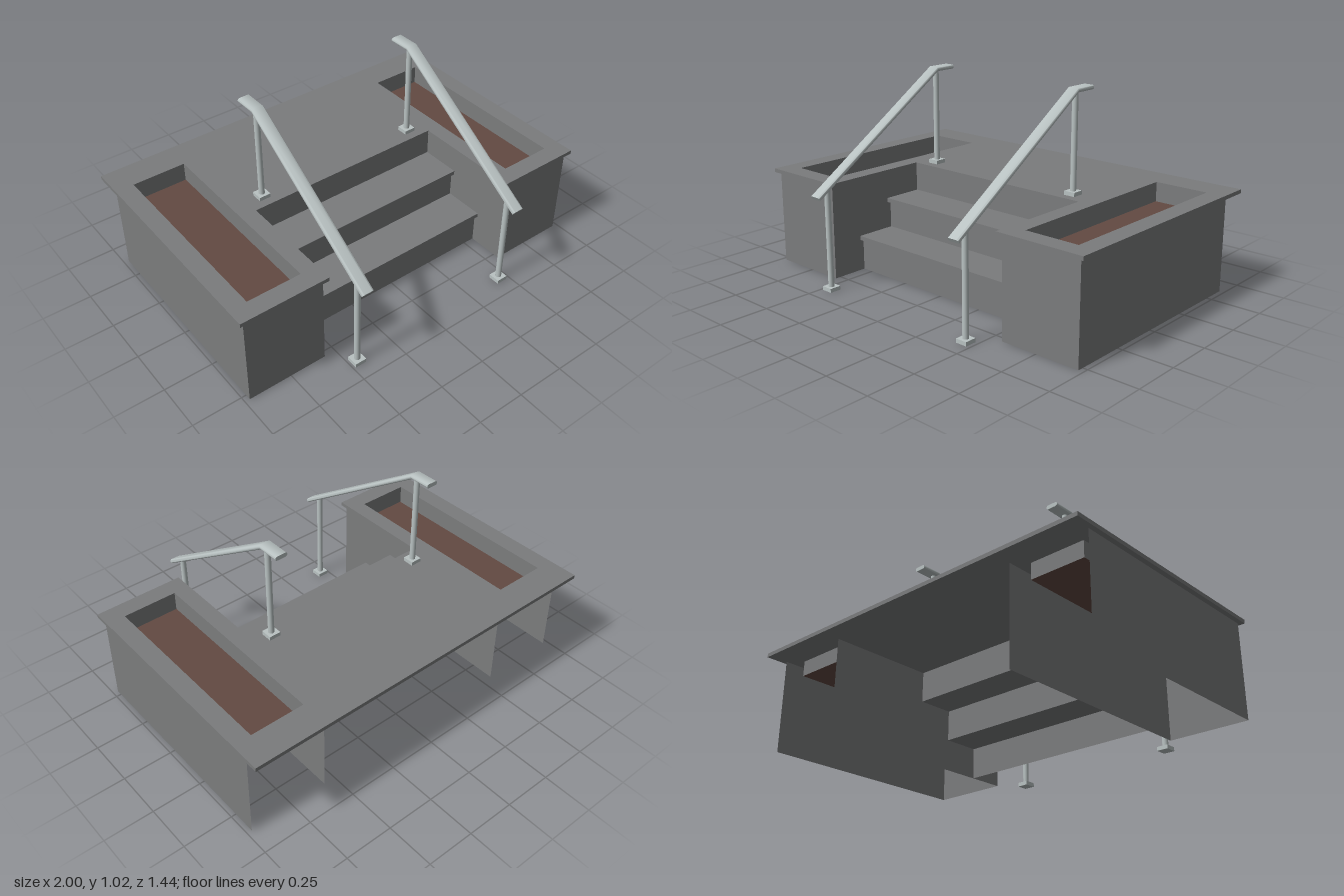
import * as THREE from 'three';
import { toCreasedNormals } from 'three/addons/utils/BufferGeometryUtils.js';

export function createModel() {
  const root = new THREE.Group();
  root.name = 'entranceSteps';
  const material = (name, color) => {
    const m = new THREE.MeshStandardMaterial({ color, side: THREE.DoubleSide });
    m.name = name;
    return m;
  };
  const concrete = material('concrete', 0x7b7c7d);
  const soil = material('soil', 0x634a42);
  const metal = material('brushedMetal', 0xb9c2c2);

  const add = (parent, name, geo, mat, x = 0, y = 0, z = 0) => {
    const mesh = new THREE.Mesh(geo, mat);
    mesh.name = name;
    mesh.position.set(x, y, z);
    parent.add(mesh);
    return mesh;
  };
  // Thin upright panels: one across x, one along z
  const panelX = (parent, name, x0, x1, y0, y1, z) =>
    add(parent, name, new THREE.PlaneGeometry(x1 - x0, y1 - y0), concrete, (x0 + x1) / 2, (y0 + y1) / 2, z);
  const panelZ = (parent, name, z0, z1, y0, y1, x) =>
    add(parent, name, new THREE.PlaneGeometry(z1 - z0, y1 - y0).rotateY(Math.PI / 2), concrete, x, (y0 + y1) / 2, (z0 + z1) / 2);

  // Landing slab: U-shaped outline with two planter openings
  const slabBottom = 0.485, slabTop = 0.505;
  const hole = { x0: 0.625, x1: 0.905, z0: -0.56, z1: 0.455 };
  const outline = [[-1, -0.72], [1, -0.72], [1, 0.55], [0.54, 0.55], [0.54, -0.03],
    [-0.54, -0.03], [-0.54, 0.55], [-1, 0.55]];
  const toShape = (pts, Type) => new Type(pts.map(([x, z]) => new THREE.Vector2(x, -z)));
  const slabShape = toShape(outline, THREE.Shape);
  for (const s of [-1, 1]) {
    slabShape.holes.push(toShape([[s * hole.x0, hole.z0], [s * hole.x1, hole.z0],
      [s * hole.x1, hole.z1], [s * hole.x0, hole.z1]], THREE.Path));
  }
  const slab = new THREE.ExtrudeGeometry(slabShape, { depth: slabTop - slabBottom, bevelEnabled: false });
  add(root, 'landingSlab', slab.rotateX(-Math.PI / 2), concrete, 0, slabBottom, 0);

  // Planters: open-backed walls with a sunken soil bed
  const soilY = 0.405;
  for (const s of [-1, 1]) {
    const planter = new THREE.Group();
    planter.name = s > 0 ? 'leftPlanter' : 'rightPlanter';
    root.add(planter);
    const span = (a, b) => (s > 0 ? [a, b] : [-b, -a]);
    panelX(planter, 'frontWall', ...span(0.56, 0.975), 0, slabBottom, 0.53);
    panelZ(planter, 'innerWall', -0.62, 0.53, 0, slabBottom, s * 0.56);
    panelZ(planter, 'outerWall', -0.62, 0.53, 0, slabBottom, s * 0.975);
    for (const z of [hole.z0, hole.z1]) panelX(planter, 'bedEnd', ...span(hole.x0, hole.x1), soilY, slabBottom, z);
    for (const x of [hole.x0, hole.x1]) panelZ(planter, 'bedSide', hole.z0, hole.z1, soilY, slabBottom, s * x);
    const bed = new THREE.PlaneGeometry(hole.x1 - hole.x0, hole.z1 - hole.z0).rotateX(-Math.PI / 2);
    add(planter, 'soilBed', bed, soil, s * (hole.x0 + hole.x1) / 2, soilY, (hole.z0 + hole.z1) / 2);
  }

  // Stairs: risers set slightly behind the tread noses
  const nose = 0.02, treadThick = 0.022;
  const treads = [{ top: 0.185, front: 0.36, back: 0.145 }, { top: 0.346, front: 0.165, back: -0.05 }];
  let riserBase = 0;
  for (const t of treads) {
    panelX(root, 'riser', -0.56, 0.56, riserBase, t.top - treadThick, t.front - nose);
    add(root, 'tread', new THREE.BoxGeometry(1.12, treadThick, t.front - t.back), concrete,
      0, t.top - treadThick / 2, (t.front + t.back) / 2);
    riserBase = t.top;
  }
  panelX(root, 'topRiser', -0.56, 0.56, riserBase, slabBottom, -0.05);

  // Handrail: flat bar with rounded edges, bent once with a mitred joint
  const r = 0.011, half = 0.0325 - r;
  const section = new THREE.Shape();
  section.moveTo(-half, -r);
  section.lineTo(half, -r);
  section.absarc(half, 0, r, -Math.PI / 2, Math.PI / 2, false);
  section.lineTo(-half, r);
  section.absarc(-half, 0, r, Math.PI / 2, Math.PI * 1.5, false);
  const stations = [
    { y: 1.011, z: -0.205, ny: 1, nz: 0 },
    { y: 1.011, z: -0.091, ny: 1, nz: 0.299 },
    { y: 0.484, z: 0.714, ny: 0.836, nz: 0.549 },
  ];
  const bar = new THREE.ExtrudeGeometry(section, { depth: 2, steps: 2, curveSegments: 8, bevelEnabled: false });
  const pos = bar.attributes.position;
  for (let i = 0; i < pos.count; i++) {
    const p = stations[Math.round(pos.getZ(i))], h = pos.getY(i);
    pos.setXYZ(i, pos.getX(i), p.y + h * p.ny, p.z + h * p.nz);
  }
  const railGeo = toCreasedNormals(bar, 0.8);

  // Each railing: bar, two round posts and their square foot plates
  const posts = [{ name: 'front', z: 0.643, y0: 0, y1: 0.527 }, { name: 'back', z: -0.104, y0: slabTop, y1: 1.005 }];
  for (const x of [-0.457, 0.451]) {
    const railing = new THREE.Group();
    railing.name = x > 0 ? 'leftRailing' : 'rightRailing';
    railing.position.x = x;
    root.add(railing);
    add(railing, 'handrail', railGeo, metal);
    for (const p of posts) {
      add(railing, p.name + 'Post', new THREE.CylinderGeometry(0.015, 0.015, p.y1 - p.y0, 20), metal, 0, (p.y0 + p.y1) / 2, p.z);
      add(railing, p.name + 'FootPlate', new THREE.BoxGeometry(0.06, 0.02, 0.06), metal, 0, p.y0 + 0.01, p.z);
    }
  }
  return root;
}
